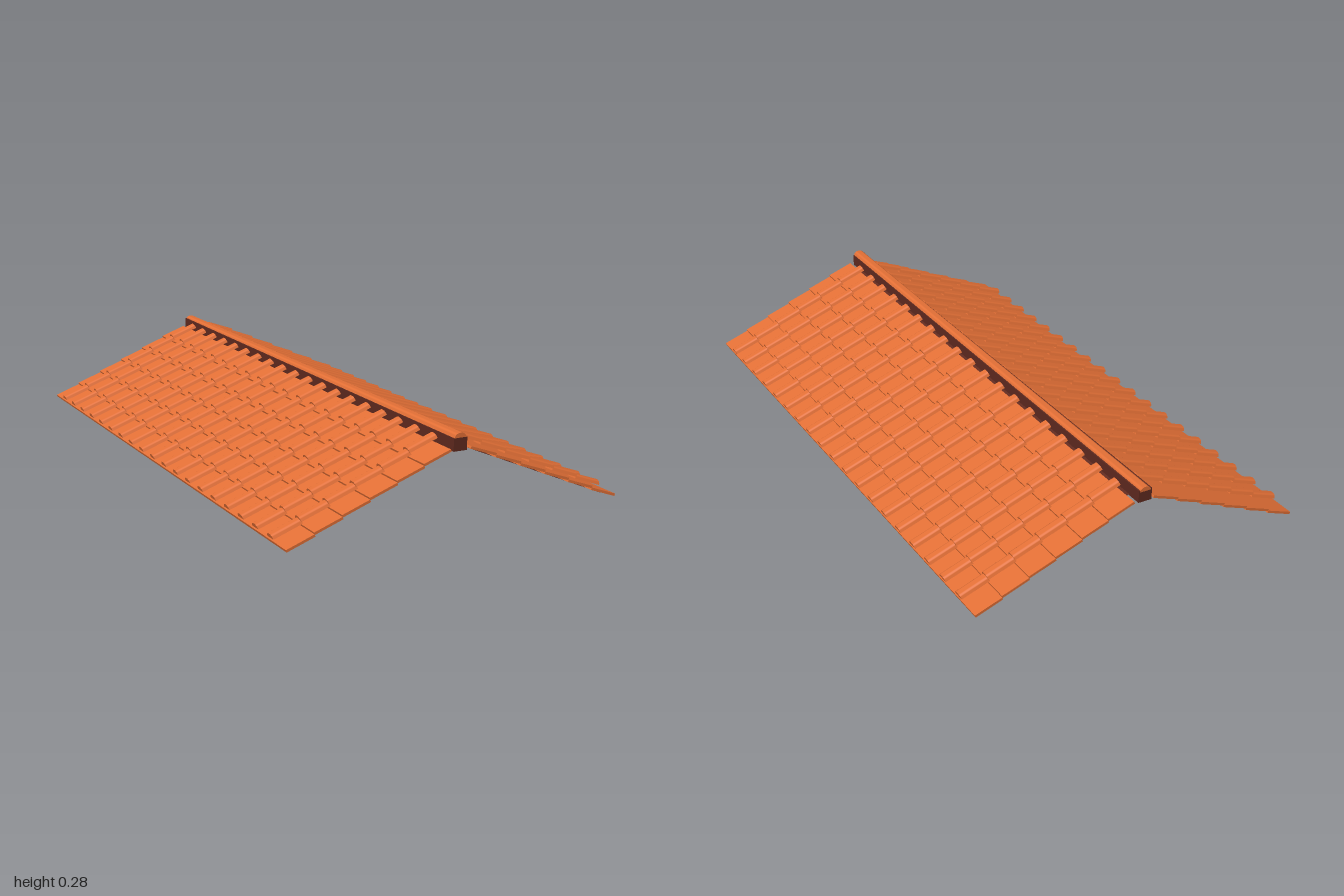
import * as THREE from 'three';
import { mergeGeometries, toCreasedNormals } from 'three/addons/utils/BufferGeometryUtils.js';

const ROWS = 6, CAPS = 19, TILT = 0.345, PITCH = 0.089, TILE = 0.1;

// half-round bar running along +x from the origin, flat side down
function halfRound(rx, ry, length) {
  const shape = new THREE.Shape();
  shape.absellipse(0, 0, rx, ry, 0, Math.PI, false);
  shape.closePath();
  const g = new THREE.ExtrudeGeometry(shape, { depth: length, bevelEnabled: false, curveSegments: 8 });
  return toCreasedNormals(g.rotateY(Math.PI / 2), 0.8);
}

export function createModel() {
  const model = new THREE.Group();
  model.name = 'tiledRoof';
  const tile = new THREE.MeshStandardMaterial({ color: 0xe47036 });
  tile.name = 'terracotta';
  const dark = new THREE.MeshStandardMaterial({ color: 0x602a1f, side: THREE.DoubleSide });
  dark.name = 'darkBrown';

  const add = (parent, name, geometry, material) => {
    const mesh = new THREE.Mesh(geometry, material);
    mesh.name = name;
    parent.add(mesh);
    return mesh;
  };

  // one slope on the -x side, rows counted from the eave upwards
  const slope = new THREE.Group();
  slope.name = 'rightSlope';
  const cap = halfRound(0.0195, 0.0145, TILE);
  for (let row = 0; row < ROWS; row++) {
    const x = -0.57 + row * PITCH;

    // flat course of pan tiles
    const pan = new THREE.BoxGeometry(0.096, 0.008, 2);
    pan.translate(0.048, 0.004, 0).rotateZ(TILT).translate(x + 0.002, row * 0.038, 0);
    add(slope, 'panTiles' + (row + 1), pan, tile);

    // half-round cover tiles
    const caps = [];
    for (let i = 0; i < CAPS; i++) {
      caps.push(cap.clone().rotateZ(TILT).translate(x, 0.013 + row * 0.0393, -0.9 + i * 0.1));
    }
    add(slope, 'coverTiles' + (row + 1), mergeGeometries(caps), tile);
  }

  // thin underlay sheet, clear of the lowest corners of the tiles
  const run = 0.55, rise = 0.2335;
  const sheet = new THREE.PlaneGeometry(Math.hypot(run, rise), 1.9);
  sheet.rotateX(-Math.PI / 2).rotateZ(Math.atan2(rise, run)).translate(-run / 2, rise / 2, 0);
  add(slope, 'underlay', sheet, dark);
  model.add(slope);

  const opposite = slope.clone();
  opposite.name = 'leftSlope';
  opposite.rotation.y = Math.PI;
  model.add(opposite);

  // ridge beam with a rounded cover that dips slightly towards the back
  const beam = add(model, 'ridgeBeam', new THREE.BoxGeometry(0.046, 0.04, 2), dark);
  beam.position.set(-0.003, 0.241, 0);
  const cover = halfRound(0.02, 0.016, 2).rotateY(Math.PI / 2).translate(0, 0, 1);
  cover.rotateX(-0.003).translate(-0.003, 0.257, 0);
  add(model, 'ridgeCover', cover, tile);

  return model;
}
